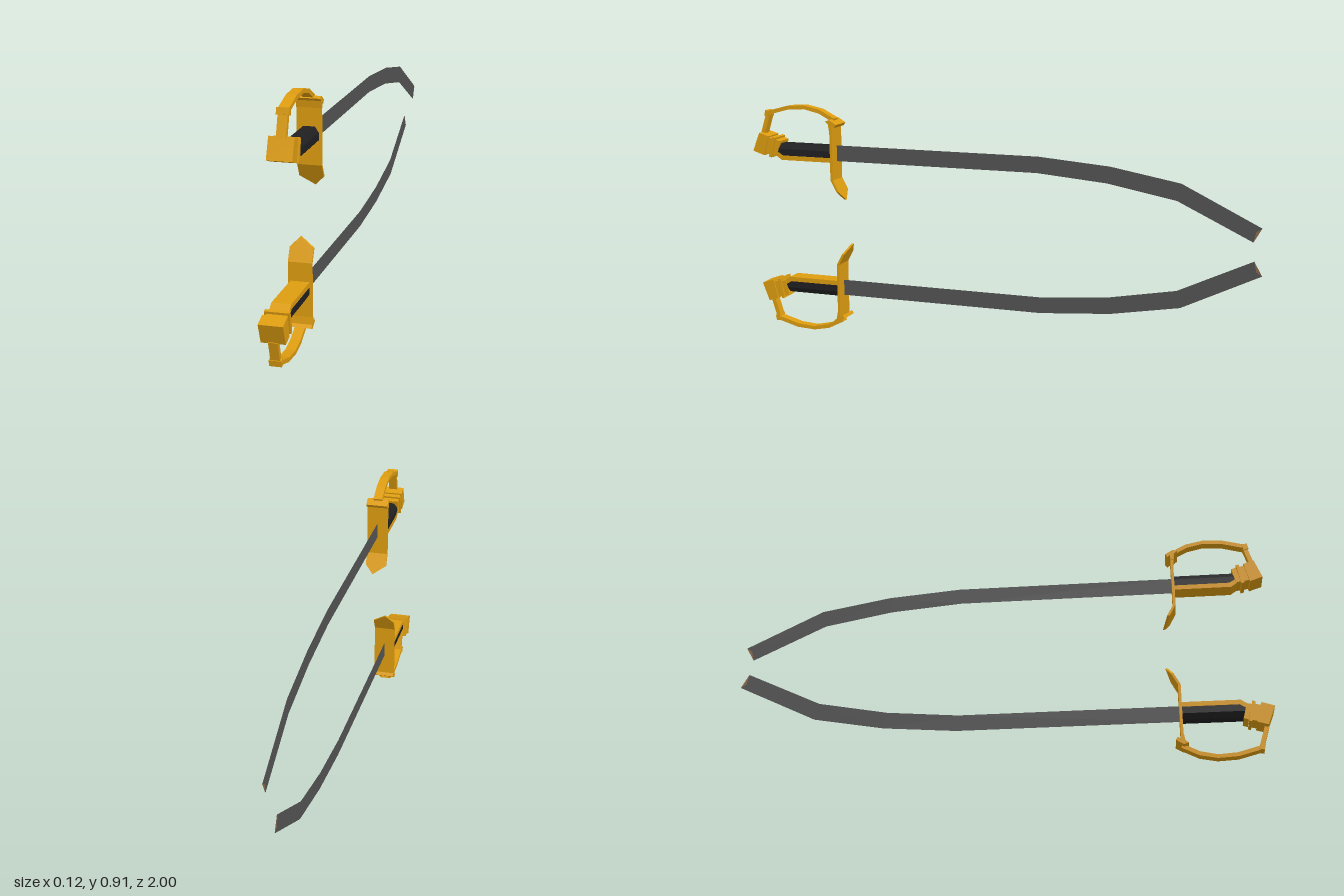
import * as THREE from 'three';

const CX = 0.0185; // middle plane of the upper sabre

const brass = new THREE.MeshStandardMaterial({ color: 0xdd9c10 });
brass.name = 'brass';
const steel = new THREE.MeshStandardMaterial({ color: 0x545454, side: THREE.DoubleSide });
steel.name = 'dark steel';
const leather = new THREE.MeshStandardMaterial({ color: 0x202022 });
leather.name = 'black leather';
const bronze = new THREE.MeshStandardMaterial({ color: 0x8c6848, side: THREE.DoubleSide });
bronze.name = 'bronze tip';

const shapeOf = (pts) => new THREE.Shape(pts.map(([a, b]) => new THREE.Vector2(a, b)));

function add(group, name, geometry, material) {
  const mesh = new THREE.Mesh(geometry, material);
  mesh.name = name;
  group.add(mesh);
}

// Side profile given as [z, y], extruded across x and centred on CX
function slab(pts, width) {
  const g = new THREE.ExtrudeGeometry(shapeOf(pts), { depth: width, bevelEnabled: false });
  return g.rotateY(-Math.PI / 2).translate(CX + width / 2, 0, 0);
}

// Front outline given as [x, y], extruded from z0 to z1
function plate(pts, z0, z1) {
  const g = new THREE.ExtrudeGeometry(shapeOf(pts), { depth: z1 - z0, bevelEnabled: false });
  return g.translate(0, 0, z0);
}

// Flat sheet in the middle plane from a [z, y] outline
function sheet(pts, offset = 0) {
  return new THREE.ShapeGeometry(shapeOf(pts)).rotateY(-Math.PI / 2).translate(CX + offset, 0, 0);
}

function createSabre() {
  const sabre = new THREE.Group();

  // Blade: flat, bending down towards the tip
  add(sabre, 'blade', sheet([
    [0.665, 0.762], [-0.165, 0.762], [-0.44, 0.74], [-0.705, 0.693], [-1, 0.549],
    [-0.97, 0.496], [-0.69, 0.629], [-0.43, 0.677], [-0.16, 0.7], [0.665, 0.7],
  ]), steel);
  for (const s of [-1, 1]) {
    add(sabre, 'bladeTip', sheet([[-1, 0.549], [-0.979, 0.535], [-0.97, 0.496]], s * 0.001), bronze);
  }

  // Hand guard: upright plate and a pointed flap leaning along the blade
  const l = CX - 0.0425, r = CX + 0.0425;
  add(sabre, 'guardPlate', plate([[l, 0.63], [r, 0.63], [r, 0.85], [l, 0.85]], 0.657, 0.667), brass);
  const flap = plate([[l, 0.63], [l, 0.585], [0.028, 0.551], [r, 0.585], [r, 0.63]], 0.657, 0.667);
  const p = flap.attributes.position;
  for (let i = 0; i < p.count; i++) p.setZ(i, p.getZ(i) - (0.63 - p.getY(i)) * 0.53);
  flap.computeVertexNormals();
  add(sabre, 'guardFlap', flap, brass);

  // Curled top edge of the guard
  add(sabre, 'guardCurl', slab([
    [0.684, 0.86], [0.667, 0.866], [0.638, 0.848], [0.646, 0.836], [0.657, 0.845],
    [0.657, 0.825], [0.668, 0.825], [0.672, 0.85],
  ], 0.087), brass);

  // Grip: faceted bar with a brass backstrap
  const gw = 0.033;
  add(sabre, 'grip', plate([
    [CX - gw, 0.714], [CX + gw, 0.714], [CX + gw, 0.742], [CX + gw * 0.6, 0.762],
    [CX - gw * 0.6, 0.762], [CX - gw, 0.742],
  ], 0.667, 0.9), leather);
  add(sabre, 'backstrap', slab([
    [0.667, 0.698], [0.88, 0.698], [0.915, 0.722], [0.91, 0.738], [0.875, 0.716], [0.667, 0.716],
  ], 0.068), brass);

  // Tilted collars and pommel
  add(sabre, 'innerCollar', slab([[0.918, 0.718], [0.903, 0.778], [0.885, 0.772], [0.9, 0.714]], 0.074), brass);
  add(sabre, 'outerCollar', slab([[0.932, 0.71], [0.914, 0.788], [0.903, 0.785], [0.92, 0.707]], 0.086), brass);
  add(sabre, 'pommelNeck', slab([[0.952, 0.723], [0.937, 0.786], [0.908, 0.778], [0.924, 0.717]], 0.074), brass);
  add(sabre, 'pommel', slab([[1, 0.73], [0.972, 0.802], [0.932, 0.79], [0.952, 0.714]], 0.085), brass);

  // Knuckle bow arching from pommel to guard
  add(sabre, 'bowFoot', slab([[0.977, 0.798], [0.953, 0.875], [0.937, 0.87], [0.96, 0.796]], 0.033), brass);
  add(sabre, 'bowJoint', slab([[0.958, 0.868], [0.953, 0.89], [0.934, 0.886], [0.94, 0.862]], 0.043), brass);
  add(sabre, 'knuckleBow', slab([
    [0.945, 0.887], [0.86, 0.91], [0.785, 0.914], [0.72, 0.901], [0.657, 0.869],
    [0.662, 0.854], [0.724, 0.886], [0.787, 0.9], [0.857, 0.895], [0.94, 0.872],
  ], 0.036), brass);

  return sabre;
}

export function createModel() {
  const model = new THREE.Group();
  const upper = createSabre();
  upper.name = 'upperSabre';
  // The second sabre is the first one turned half round the long axis
  const lower = createSabre();
  lower.name = 'lowerSabre';
  lower.rotation.z = Math.PI;
  lower.position.y = 0.914;
  model.add(upper, lower);
  return model;
}
